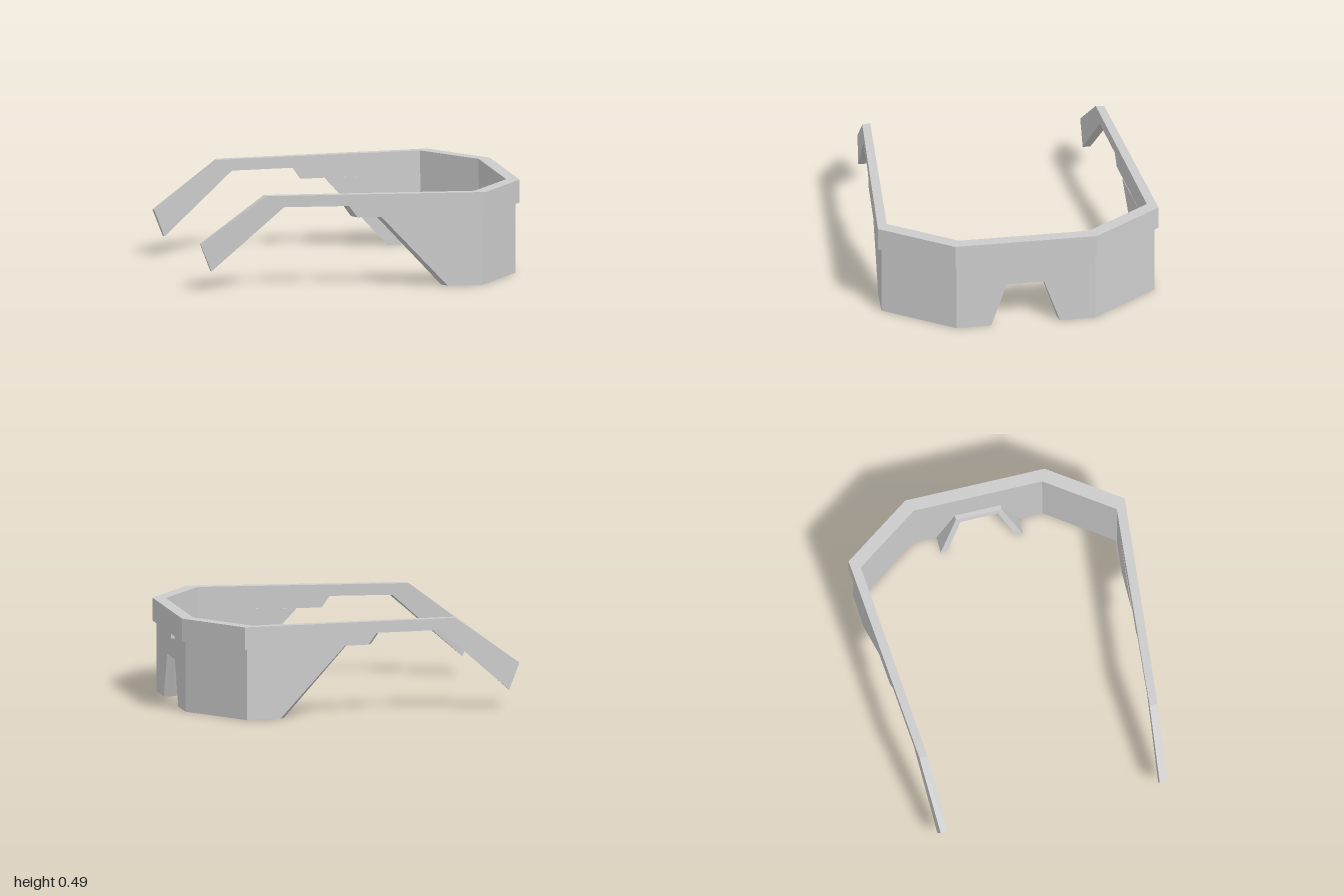
import * as THREE from 'three';

const lerp = THREE.MathUtils.lerp;

// Extrudes a side profile (s, y) and bends it into plan with map(s, y, t) -> [x, z].
function panel(points, map, mirror = false) {
  const shape = new THREE.Shape(points.map(([s, y]) => new THREE.Vector2(s, y)));
  const geo = new THREE.ExtrudeGeometry(shape, { depth: 1, bevelEnabled: false });
  const p = geo.attributes.position;
  for (let i = 0; i < p.count; i++) {
    const y = p.getY(i);
    const [x, z] = map(p.getX(i), y, p.getZ(i));
    p.setXYZ(i, mirror ? -x : x, y, z);
  }
  if (mirror) { // restore outward winding
    const a = p.array;
    for (let i = 0; i < a.length; i += 9)
      for (let k = 0; k < 3; k++) [a[i + 3 + k], a[i + 6 + k]] = [a[i + 6 + k], a[i + 3 + k]];
  }
  geo.computeVertexNormals();
  return geo;
}

// Plan mapping: s runs 0..1 along the wall, t runs from its outer to its inner line.
const wall = (o0, o1, i0, i1) => (s, y, t) =>
  [0, 1].map(k => lerp(lerp(o0[k], o1[k], s), lerp(i0[k], i1[k], s), t));

export function createModel() {
  const model = new THREE.Group();
  const grey = new THREE.MeshStandardMaterial({ color: 0xcccccc });
  grey.name = 'light grey';
  grey.flatShading = true;
  const glasses = new THREE.Group();
  glasses.name = 'glasses';
  glasses.position.set(0.615, 0, -0.70);
  glasses.rotation.y = -Math.atan2(0.673, 0.74);
  model.add(glasses);

  const add = (name, geo) => {
    const mesh = new THREE.Mesh(geo, grey);
    mesh.name = name;
    glasses.add(mesh);
  };
  const flip = ([x, z]) => [-x, z];

  // Plan corners of the half outline: front corner, hinge corner, temple tip
  const frameOut = [[0.372, 0], [0.737, 0.257], [0.605, 1.74]];
  const frameIn = [[0.343, 0.065], [0.683, 0.305], [0.565, 1.737]];
  const lensOut = [[0.364, 0.02], [0.717, 0.272], [0.615, 1.735]];
  const lensIn = [[0.345, 0.062], [0.684, 0.302], [0.555, 1.737]];
  const top = 0.49, brow = 0.37;

  // Brow bar with the small centre tab; s = 0..1 across the front
  const across = x => 0.5 + x / 0.744;
  add('browBar', panel(
    [[0, brow], [across(-0.1), brow], [across(-0.1), 0.345], [across(0.1), 0.345],
      [across(0.1), brow], [1, brow], [1, top], [0, top]],
    wall(flip(frameOut[0]), frameOut[0], flip(frameIn[0]), frameIn[0])));

  // Front lens with the nose notch
  add('frontLens', panel(
    [[0, 0], [across(-0.185), 0], [across(-0.1), 0.235], [across(0.1), 0.235],
      [across(0.185), 0], [1, 0], [1, brow], [0, brow]],
    wall(flip(lensOut[0]), lensOut[0], flip(lensIn[0]), lensIn[0])));

  // Nose rest: strip around the notch that deepens towards the bottom
  add('noseRest', panel(
    [[-0.185, 0], [-0.1, 0.235], [0.1, 0.235], [0.185, 0],
      [0.22, 0], [0.122, 0.265], [-0.122, 0.265], [-0.22, 0]],
    (s, y, t) => [s, lerp(0.055, lerp(0.15, 0.085, y / 0.265), t)]));

  // Both sides
  const along = v => (v - 0.257) / 1.483;
  for (const [side, mirror] of [['left', true], ['right', false]]) {
    const seg = (o, i, k) => wall(o[k], o[k + 1], i[k], i[k + 1]);
    add(side + 'BrowCorner', panel([[0, brow], [1, brow], [1, top], [0, top]],
      seg(frameOut, frameIn, 0), mirror));
    add(side + 'CornerLens', panel([[0, 0], [1, 0], [1, brow], [0, brow]],
      seg(lensOut, lensIn, 0), mirror));
    add(side + 'Temple', panel(
      [[0, brow], [along(0.925), brow], [along(0.969), 0.43], [along(1.307), 0.43],
        [along(1.685), 0.1], [1, 0.24], [along(1.395), top], [0, top]],
      seg(frameOut, frameIn, 1), mirror));
    add(side + 'SideLens', panel(
      [[0, 0], [along(0.44), 0], [along(0.793), brow], [0, brow]],
      seg(lensOut, lensIn, 1), mirror));
  }
  return model;
}
